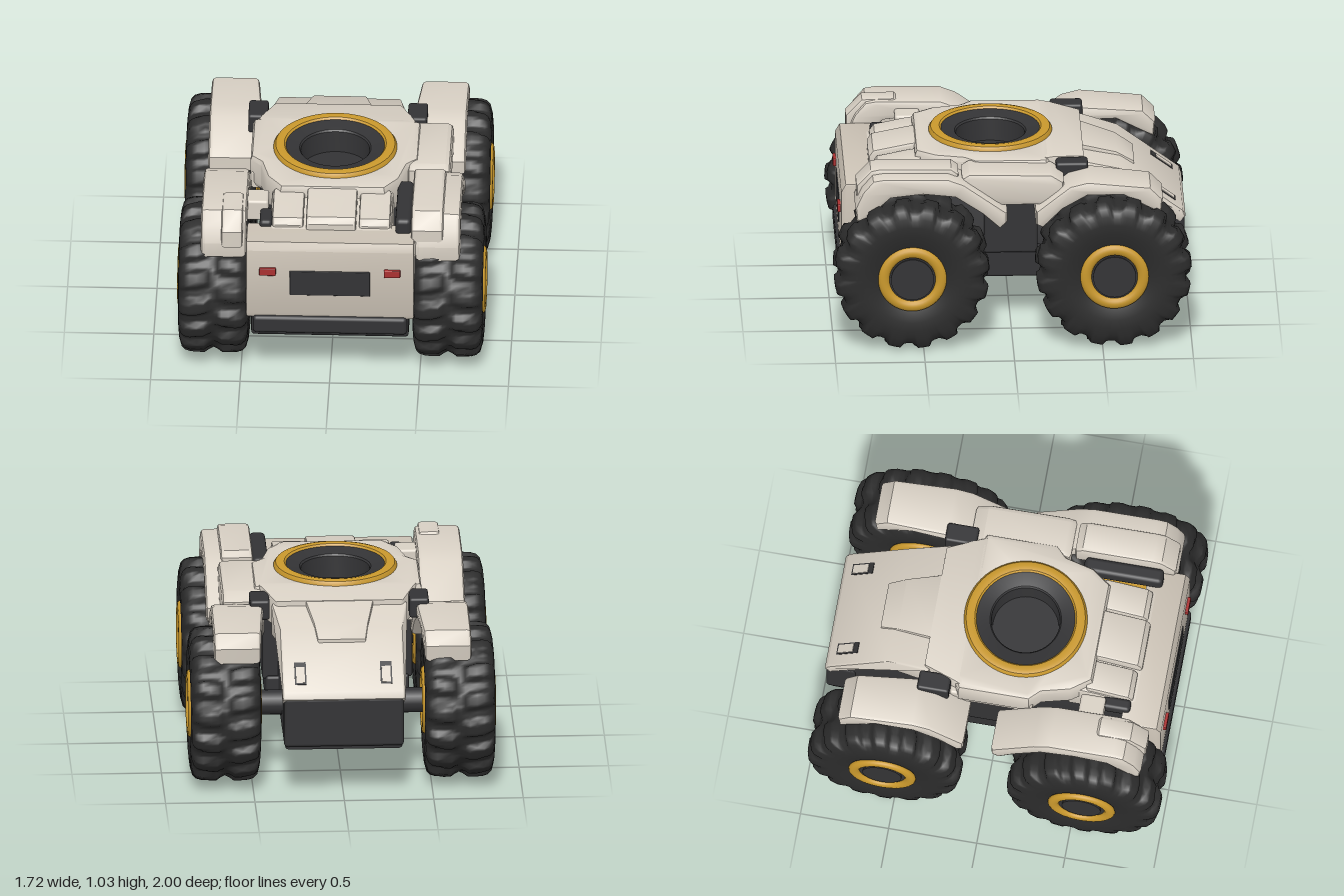
import * as THREE from 'three';
import { mergeVertices, toCreasedNormals } from 'three/addons/utils/BufferGeometryUtils.js';
import { RoundedBoxGeometry } from 'three/addons/geometries/RoundedBoxGeometry.js';

const mat = (name, color) => Object.assign(new THREE.MeshStandardMaterial({ color }), { name });

export function createModel() {
  const shell = mat('shell beige', 0xd8d0c4);
  const plate = mat('panel beige', 0xcbc2b5);
  const rubber = mat('tyre black', 0x2b2b2b);
  const dark = mat('chassis charcoal', 0x333335);
  const gold = mat('ring gold', 0xc9982c);
  const red = mat('lamp red', 0xa93030);

  const model = new THREE.Group();
  model.name = 'rover';

  const add = (name, geo, material, parent = model) => {
    const m = new THREE.Mesh(geo, material);
    m.name = name;
    parent.add(m);
    return m;
  };

  // Rounded block given by its limits on each axis
  const block = (name, material, [x0, x1], [y0, y1], [z0, z1], r = 0.015) => {
    const m = add(name, new RoundedBoxGeometry(x1 - x0, y1 - y0, z1 - z0, 2, r), material);
    m.position.set((x0 + x1) / 2, (y0 + y1) / 2, (z0 + z1) / 2);
    return m;
  };

  // Side profile of [z, y] points swept from x0 to x1; taper(x, z) may reshape x
  const prism = (name, material, profile, x0, x1, bevel = 0.02, taper = null) => {
    const shape = new THREE.Shape(profile.map(([z, y]) => new THREE.Vector2(z, y)));
    const geo = new THREE.ExtrudeGeometry(shape, {
      depth: x1 - x0 - 2 * bevel, bevelSize: bevel, bevelThickness: bevel, bevelOffset: -bevel, bevelSegments: 2,
    });
    geo.rotateY(-Math.PI / 2).translate(x1 - bevel, 0, 0);
    if (taper) {
      const p = geo.attributes.position;
      for (let i = 0; i < p.count; i++) p.setX(i, taper(p.getX(i), p.getZ(i)));
    }
    return add(name, toCreasedNormals(geo, 0.6), material);
  };

  // Wheels: a lathed tyre whose tread is pushed out into staggered lugs
  const tyreGeometry = () => {
    const profile = [
      [0.12, -0.15], [0.17, -0.17], [0.2, -0.185], [0.26, -0.195], [0.31, -0.197], [0.345, -0.192], [0.375, -0.18],
      [0.393, -0.16], [0.402, -0.13], [0.405, -0.09], [0.405, -0.05], [0.405, -0.025], [0.405, 0],
    ];
    const points = [...profile, ...profile.slice(0, -1).reverse().map(([r, y]) => [r, -y])];
    const lathe = new THREE.LatheGeometry(points.map(([r, y]) => new THREE.Vector2(r, y)), 160);
    lathe.deleteAttribute('uv');
    lathe.deleteAttribute('normal');
    const geo = mergeVertices(lathe, 1e-4);
    const p = geo.attributes.position;
    for (let i = 0; i < p.count; i++) {
      const x = p.getX(i), y = p.getY(i), z = p.getZ(i), r = Math.hypot(x, z);
      const wave = Math.sin(16 * Math.atan2(z, x) + (y > 0 ? Math.PI : 0) + Math.abs(y) * 6);
      const lug = THREE.MathUtils.smoothstep(wave, -0.45, 0.1)
        * THREE.MathUtils.smoothstep(r, 0.3, 0.39) * THREE.MathUtils.smoothstep(Math.abs(y), 0.005, 0.05);
      const k = (r + 0.03 * lug) / r;
      p.setXYZ(i, x * k, y, z * k);
    }
    geo.computeVertexNormals();
    return geo.rotateZ(-Math.PI / 2);
  };
  const tyre = tyreGeometry();
  const rim = new THREE.TorusGeometry(0.16, 0.031, 12, 48).rotateY(Math.PI / 2).scale(0.7, 1, 1);
  const hub = new THREE.CylinderGeometry(0.145, 0.145, 0.37, 40).rotateZ(Math.PI / 2);
  const cap = new THREE.CylinderGeometry(0.11, 0.12, 0.39, 40).rotateZ(Math.PI / 2);
  for (const z of [0.565, -0.565]) {
    for (const s of [1, -1]) {
      const wheel = new THREE.Group();
      wheel.name = `${z > 0 ? 'front' : 'rear'}${s > 0 ? 'Left' : 'Right'}Wheel`;
      wheel.position.set(0.655 * s, 0.435, z);
      add('tyre', tyre, rubber, wheel);
      add('hub', hub, dark, wheel);
      add('hubCap', cap, dark, wheel);
      for (const x of [-0.185, 0.185]) add('rimRing', rim, gold, wheel).position.x = x;
      model.add(wheel);
    }
    const axle = add('axle', new THREE.CylinderGeometry(0.07, 0.07, 1.1, 20).rotateZ(Math.PI / 2), dark);
    axle.position.set(0, 0.435, z);
  }

  // Chassis
  prism('chassis', dark, [[0.85, 0.27], [0.85, 0.8], [-0.45, 0.8], [-0.62, 0.78], [-0.95, 0.54], [-0.95, 0.29], [-0.6, 0.27]], -0.33, 0.33);
  block('lowerHull', dark, [-0.4, 0.4], [0.27, 0.44], [-0.17, 0.17]);
  block('sideHull', dark, [-0.42, 0.42], [0.42, 0.82], [-0.15, 0.15]);
  block('rearPanel', dark, [-0.335, 0.335], [0.31, 0.6], [-0.975, -0.8], 0.02);
  block('bumper', dark, [-0.43, 0.43], [0.295, 0.4], [0.8, 0.965], 0.02);
  block('bumperBase', dark, [-0.44, 0.44], [0.27, 0.4], [0.78, 0.945], 0.02);

  // Front panel with its window and lamps
  prism('frontPanel', plate, [[0.72, 0.39], [0.94, 0.39], [0.95, 0.42], [0.95, 0.82], [0.925, 0.865], [0.72, 0.865]], -0.47, 0.47, 0.012);
  block('frontWindow', dark, [-0.225, 0.225], [0.54, 0.695], [0.948, 0.957], 0.004);
  for (const s of [1, -1]) {
    const lamp = block('lamp', red, [-0.046, 0.046], [0.668, 0.713], [0.945, 0.968], 0.005);
    lamp.position.x = 0.348 * s;
  }

  // Main deck with a round opening
  const outline = [[-0.4, 0.24], [-0.47, 0.2], [-0.47, -0.2], [-0.41, -0.26], [-0.37, -0.42], [-0.29, -0.53]];
  const deckShape = new THREE.Shape([...outline, ...outline.slice().reverse().map(([x, y]) => [-x, y])]
    .map(([x, y]) => new THREE.Vector2(x, y)));
  deckShape.holes.push(new THREE.Path().absarc(0, -0.1, 0.25, 0, Math.PI * 2, true));
  const deckGeo = new THREE.ExtrudeGeometry(deckShape, {
    depth: 0.13, bevelSize: 0.035, bevelThickness: 0.035, bevelOffset: -0.035, bevelSegments: 2, curveSegments: 32,
  }).rotateX(-Math.PI / 2).translate(0, 0.835, 0);
  add('deck', toCreasedNormals(deckGeo, 0.6), shell);
  prism('rearDeck', shell, [[-0.19, 0.82], [-0.19, 1.0], [-0.24, 1.0], [-0.41, 0.975], [-0.42, 0.82]], -0.42, 0.42, 0.015,
    (x, z) => x * THREE.MathUtils.mapLinear(z, -0.42, -0.19, 0.84, 1.06));

  // Turret ring and well
  const lathe = (pts) => toCreasedNormals(new THREE.LatheGeometry(pts.map(([r, y]) => new THREE.Vector2(r, y)), 64), 0.6);
  add('turretRing', lathe([[0.345, 0.985], [0.345, 1.005], [0.333, 1.023], [0.31, 1.03], [0.285, 1.025], [0.265, 1.0]]), gold).position.z = 0.1;
  add('turretWell', lathe([[0.285, 1.015], [0.265, 1.012], [0.2, 0.995], [0.192, 0.985], [0.185, 0.86], [0, 0.86]]), dark).position.z = 0.1;

  // Stepped hood blocks ahead of the deck
  prism('hoodBase', shell, [[0.4, 0.7], [0.4, 0.94], [0.55, 0.92], [0.8, 0.86], [0.8, 0.7]], -0.34, 0.34, 0.015);
  prism('hoodCentre', shell, [[0.49, 0.82], [0.49, 0.985], [0.56, 0.975], [0.76, 0.935], [0.785, 0.9], [0.785, 0.82]], -0.14, 0.14, 0.015);
  for (const s of [1, -1]) {
    const [a, b] = s > 0 ? [0.155, 0.33] : [-0.33, -0.155];
    prism('hoodSide', shell, [[0.5, 0.82], [0.5, 0.96], [0.57, 0.95], [0.74, 0.915], [0.765, 0.88], [0.765, 0.82]], a, b, 0.015);
  }
  block('hoodRightStep', shell, [-0.48, -0.355], [0.82, 0.945], [0.48, 0.62]);

  // Sloping tail, its raised panel and two latches
  prism('tailCover', shell, [[-0.38, 0.76], [-0.38, 0.955], [-0.62, 0.89], [-0.965, 0.635], [-0.98, 0.595], [-0.95, 0.56], [-0.62, 0.78]], -0.345, 0.345, 0.015,
    (x, z) => x * (1 + 0.1 * THREE.MathUtils.smoothstep(z, -0.6, -0.4)));
  prism('tailPanel', shell, [[-0.4, 0.9], [-0.4, 0.975], [-0.6, 0.915], [-0.7, 0.85], [-0.7, 0.8], [-0.6, 0.86]], -0.19, 0.19, 0.01,
    (x, z) => x * THREE.MathUtils.mapLinear(z, -0.7, -0.4, 0.7, 1));
  for (const s of [1, -1]) {
    const latch = new THREE.Group();
    latch.name = 'tailLatch';
    latch.position.set(0.24 * s, 0.708, -0.865);
    latch.rotation.x = -0.637;
    add('latchRecess', new THREE.BoxGeometry(0.065, 0.008, 0.15), dark, latch);
    add('latchTab', new THREE.BoxGeometry(0.048, 0.009, 0.105), shell, latch).position.set(0, 0.003, -0.012);
    model.add(latch);
  }

  // Wheel arches, mirrored left and right
  const frontArch = [[0.87, 0.73], [0.88, 0.82], [0.84, 0.91], [0.78, 0.98], [0.72, 0.99], [0.36, 0.985], [0.27, 0.95], [0.03, 0.78],
    [0.03, 0.72], [0.07, 0.68], [0.17, 0.77], [0.32, 0.87], [0.5, 0.89], [0.68, 0.87], [0.8, 0.76]];
  const rearArch = [[-0.83, 0.76], [-0.84, 0.85], [-0.77, 0.92], [-0.42, 0.955], [-0.32, 0.93], [-0.13, 0.78],
    [-0.13, 0.7], [-0.17, 0.68], [-0.28, 0.79], [-0.42, 0.87], [-0.62, 0.87], [-0.75, 0.8]];
  const sides = (x0, x1, s) => (s > 0 ? [x0, x1] : [-x1, -x0]);
  for (const s of [1, -1]) {
    prism('frontArch', shell, frontArch, ...sides(0.47, 0.725, s), 0.025);
    prism('rearArch', shell, rearArch, ...sides(0.43, 0.72, s), 0.025, (x, z) =>
      s * (0.72 - (0.72 - Math.abs(x)) * THREE.MathUtils.mapLinear(z, -0.84, -0.13, 0.9, 1.08)));
    block('deckClip', dark, sides(0.39, 0.5, s), [0.87, 0.985], [-0.43, -0.25]);
  }

  // Armour differing between the two sides
  prism('leftPod', shell, [[0.28, 0.84], [0.28, 0.96], [0.24, 0.985], [-0.22, 0.975], [-0.29, 0.93], [-0.29, 0.82], [-0.2, 0.79], [0.2, 0.79]], 0.41, 0.65, 0.03);
  prism('leftArchCap', shell, [[0.87, 0.85], [0.87, 0.92], [0.79, 1.005], [0.74, 1.015], [0.34, 1.01], [0.3, 0.98], [0.3, 0.85]], 0.45, 0.63, 0.02);
  prism('rightArchCap', shell, [[0.89, 0.8], [0.89, 0.9], [0.8, 0.995], [0.62, 1.0], [0.6, 0.98], [0.6, 0.85]], -0.61, -0.49, 0.02);
  block('rightSkirt', shell, [-0.465, -0.38], [0.79, 0.9], [-0.25, 0.22]);
  block('leftHoodTube', dark, [0.36, 0.45], [0.85, 0.95], [0.36, 0.81], 0.025);
  block('rightHoodTube', dark, [-0.4, -0.33], [0.82, 0.9], [0.6, 0.76], 0.02);

  return model;
}
